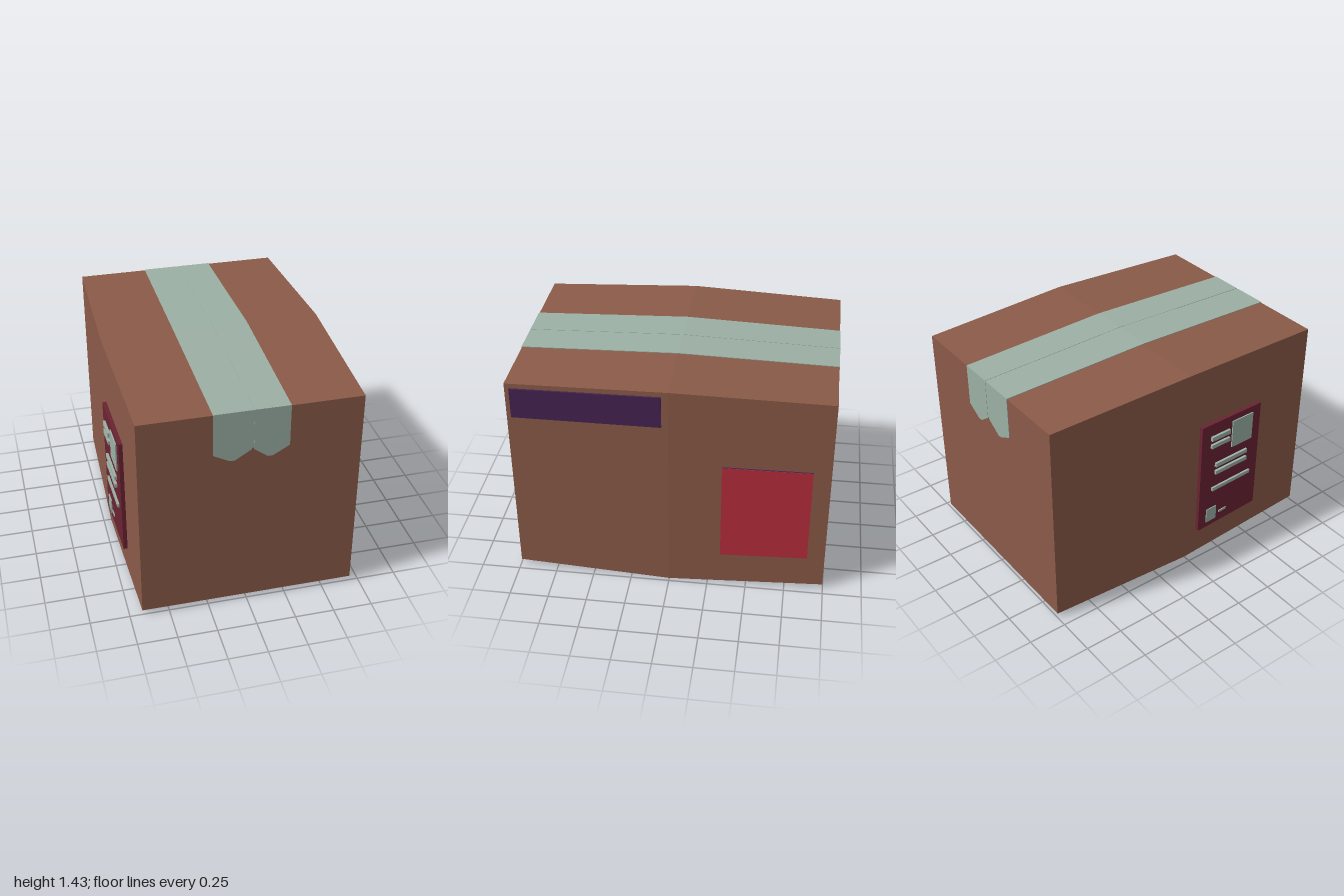
import * as THREE from 'three';

const CX = 0.0125, CY = 0.715, HX = 0.682, HY = 0.684, HZ = 0.997;

function material(name, color) {
  const m = new THREE.MeshStandardMaterial({ color });
  m.name = name;
  return m;
}

// Everything swells gently towards the middle of the box (z = 0).
function bulge(geometry) {
  const g = geometry.index ? geometry.toNonIndexed() : geometry;
  const p = g.attributes.position;
  for (let i = 0; i < p.count; i++) {
    const s = 1 + 0.044 * Math.max(0, 1 - Math.abs(p.getZ(i)));
    p.setX(i, CX + (p.getX(i) - CX) * s);
    p.setY(i, CY + (p.getY(i) - CY) * s);
  }
  g.computeVertexNormals();
  return g;
}

// A bulged block given by its limits on each axis.
function block(name, mat, [x0, x1], [y0, y1], [z0, z1], segments = 1) {
  const g = new THREE.BoxGeometry(x1 - x0, y1 - y0, z1 - z0, 1, 1, segments);
  g.translate((x0 + x1) / 2, (y0 + y1) / 2, (z0 + z1) / 2);
  const mesh = new THREE.Mesh(bulge(g), mat);
  mesh.name = name;
  return mesh;
}

export function createModel() {
  const cardboard = material('cardboard brown', 0x8a5a48);
  const sage = material('tape sage', 0x9cb0a5);
  const red = material('sticker red', 0xb82c3a);
  const purple = material('sticker purple', 0x452250);
  const maroon = material('label maroon', 0x6a2332);

  const model = new THREE.Group();
  model.name = 'parcel';
  const right = CX + HX, left = CX - HX, top = CY + HY;

  // Carton
  model.add(block('carton', cardboard, [left, right], [CY - HY, top], [-HZ, HZ], 2));

  // Two tape strips, with a lower seam between them
  const tape = new THREE.Group();
  tape.name = 'tape';
  const strips = [
    { x: [-0.22, 0.013], lift: 0.004, tips: [[-0.22, 1.125], [-0.118, 1.072], [-0.088, 1.072], [0.013, 1.135]] },
    { x: [0.013, 0.026], lift: 0.002, tips: [[0.013, 1.14], [0.02, 1.148], [0.026, 1.14]] },
    { x: [0.026, 0.245], lift: 0.004, tips: [[0.026, 1.135], [0.112, 1.072], [0.142, 1.072], [0.245, 1.13]] },
  ];
  for (const { x, lift, tips } of strips) {
    tape.add(block('tapeTop', sage, x, [top, top + lift], [-HZ, HZ], 2));
    const outline = new THREE.Shape(
      [...tips, [x[1], top + lift], [x[0], top + lift]].map(([a, b]) => new THREE.Vector2(a, b)));
    for (const side of [1, -1]) {
      const depth = lift * 0.75;
      const g = new THREE.ExtrudeGeometry(outline, { depth, bevelEnabled: false });
      g.translate(0, 0, side > 0 ? HZ : -HZ - depth);
      const flap = new THREE.Mesh(g, sage);
      flap.name = side > 0 ? 'tapeEndFront' : 'tapeEndBack';
      tape.add(flap);
    }
  }
  model.add(tape);

  // Stickers on the +x side
  model.add(block('longSticker', purple, [right, right + 0.011], [1.168, 1.368], [0.04, 0.967]));
  model.add(block('squareStickerBacking', purple, [right, right + 0.01], [0.253, 0.913], [-0.885, -0.33]));
  model.add(block('squareStickerFace', red, [right + 0.01, right + 0.012], [0.253, 0.913], [-0.885, -0.33]));

  // Shipping label on the -x side, with raised marks
  const label = new THREE.Group();
  label.name = 'shippingLabel';
  const face = left - 0.025;
  label.add(block('labelPlate', maroon, [face, left], [0.215, 1.008], [0.09, 0.59]));
  const marks = [
    // y range, z range, thickness
    [[0.77, 0.965], [0.345, 0.52], 0.008],
    [[0.89, 0.92], [0.165, 0.32], 0.016],
    [[0.835, 0.862], [0.165, 0.32], 0.016],
    [[0.677, 0.705], [0.21, 0.48], 0.016],
    [[0.62, 0.647], [0.21, 0.48], 0.016],
    [[0.495, 0.52], [0.19, 0.52], 0.013],
    [[0.255, 0.355], [0.155, 0.24], 0.006],
    [[0.284, 0.299], [0.265, 0.33], 0.006],
  ];
  for (const [y, z, t] of marks) label.add(block('labelMark', sage, [face - t, face], y, z));
  model.add(label);

  return model;
}
